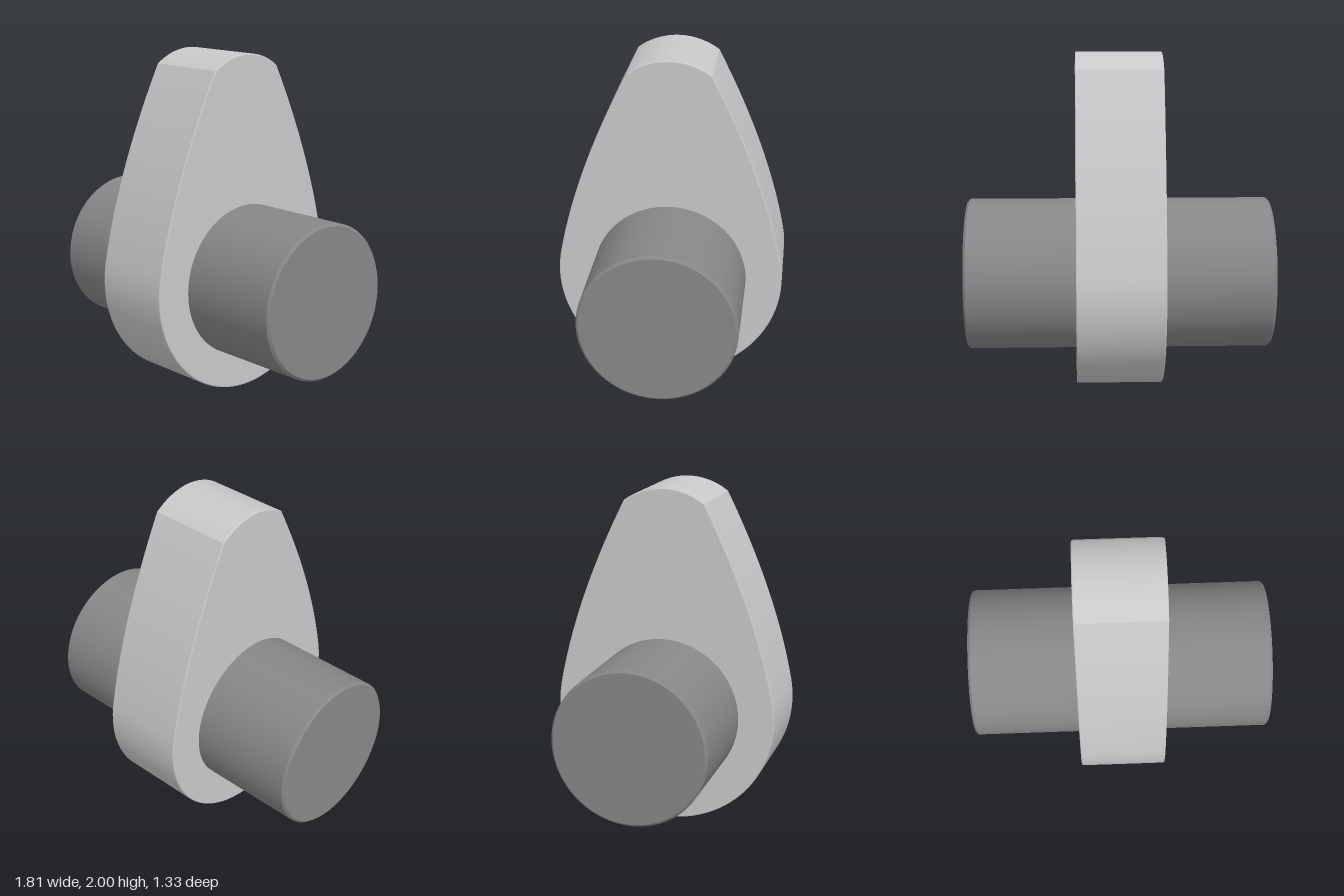
import * as THREE from 'three';
import { toCreasedNormals } from 'three/addons/utils/BufferGeometryUtils.js';

const AXIS_Y = 0.665;   // height of the shaft axis
const CREASE = 0.3;

// Egg-shaped cam outline: base circle, two convex flanks and a nose arc
function camShape() {
  const r = 0.665, a = 0.19, noseR = 0.4;
  const tx = r * Math.cos(a), ty = AXIS_Y + r * Math.sin(a);
  const noseAngle = Math.acos(0.24 / noseR);
  const s = new THREE.Shape();
  s.moveTo(tx, ty);
  s.quadraticCurveTo(0.55, 1.32, 0.24, 1.92);
  s.absarc(0, 2 - noseR, noseR, noseAngle, Math.PI - noseAngle, false);
  s.quadraticCurveTo(-0.55, 1.32, -tx, ty);
  s.absarc(0, AXIS_Y, r, Math.PI - a, Math.PI * 2 + a, false);
  return s;
}

export function createModel() {
  const group = new THREE.Group();
  group.name = 'camshaftLobe';
  const lightSteel = new THREE.MeshStandardMaterial({ color: 0xc9c9cb });
  lightSteel.name = 'light steel';
  const darkSteel = new THREE.MeshStandardMaterial({ color: 0x878789 });
  darkSteel.name = 'dark steel';

  // Cam plate, extruded along x with finely broken edges
  const bevel = 0.007, width = 0.51;
  const camGeo = new THREE.ExtrudeGeometry(camShape(), {
    depth: width - 2 * bevel, curveSegments: 32,
    bevelEnabled: true, bevelThickness: bevel, bevelSize: bevel,
    bevelOffset: -bevel, bevelSegments: 2,
  });
  camGeo.translate(0, 0, -width / 2 + bevel);
  camGeo.rotateY(Math.PI / 2);
  const cam = new THREE.Mesh(toCreasedNormals(camGeo, CREASE), lightSteel);
  cam.name = 'camLobe';
  group.add(cam);

  // Shaft through the cam, with chamfered ends
  const R = 0.452, L = 0.905, c = 0.014;
  const profile = [[0, -L], [R - c, -L], [R, -L + c], [R, L - c], [R - c, L], [0, L]]
    .map(([x, y]) => new THREE.Vector2(x, y));
  const shaftGeo = new THREE.LatheGeometry(profile, 80);
  shaftGeo.rotateZ(Math.PI / 2);
  const shaft = new THREE.Mesh(toCreasedNormals(shaftGeo, CREASE), darkSteel);
  shaft.name = 'shaft';
  shaft.position.y = AXIS_Y;
  group.add(shaft);

  return group;
}
